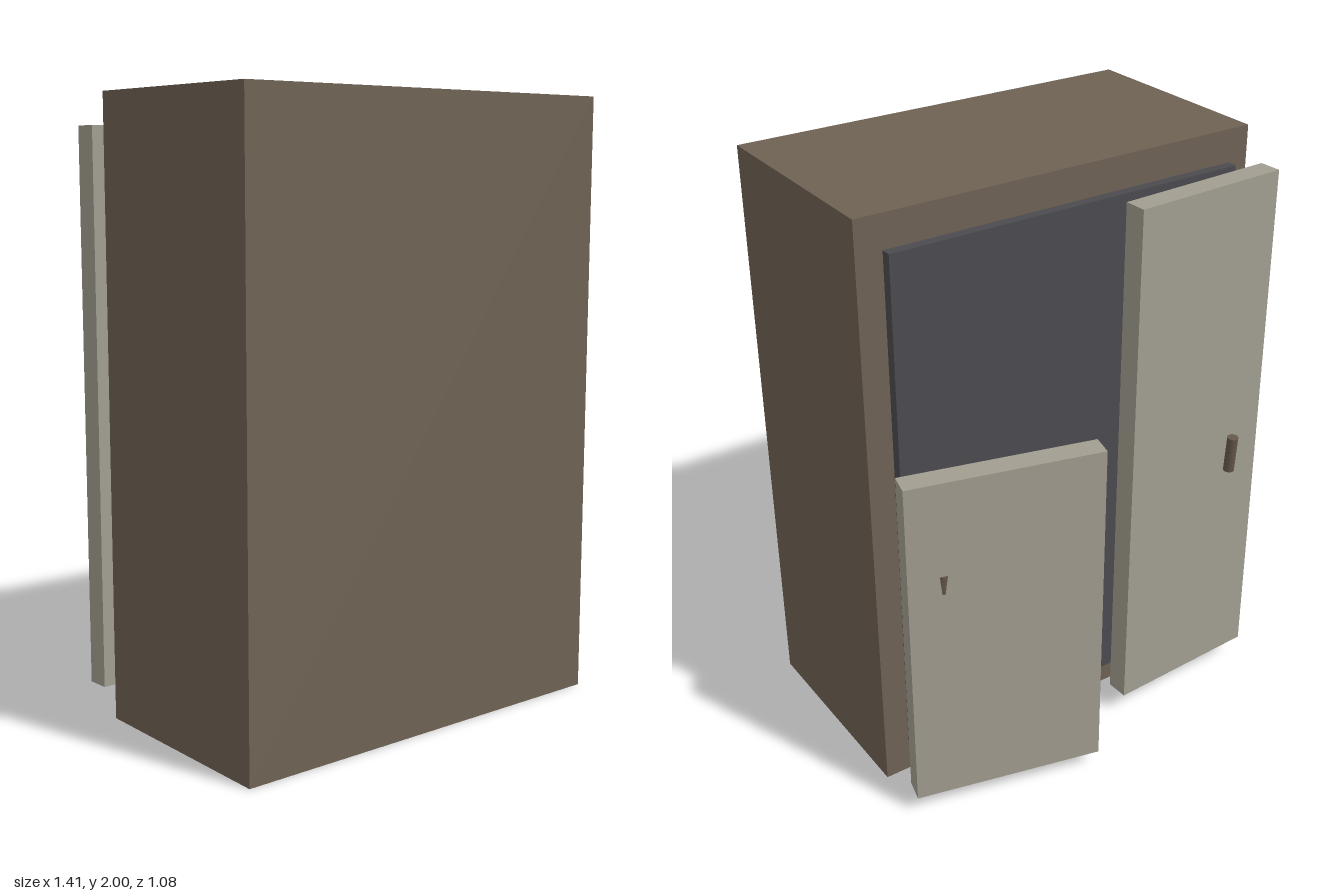
import * as THREE from 'three';

function material(name, color) {
  const m = new THREE.MeshStandardMaterial({ color });
  m.name = name;
  return m;
}

export function createModel() {
  const brown = material('brown wood', 0x6e6254);
  const charcoal = material('charcoal', 0x4b4a4e);
  const paleGrey = material('pale grey', 0xa19d90);
  const bronze = material('bronze', 0x65574a);

  const group = new THREE.Group();
  group.name = 'cabinet';

  const add = (name, geometry, mat, position, rotation = [0, 0, 0]) => {
    const mesh = new THREE.Mesh(geometry, mat);
    mesh.name = name;
    mesh.position.set(...position);
    mesh.rotation.set(...rotation);
    group.add(mesh);
  };
  const box = (w, h, d) => new THREE.BoxGeometry(w, h, d);

  // Cabinet body and the dark panel just behind it
  add('body', box(1.414, 2, 0.73), brown, [0, 1, 0.175]);
  add('backPanel', box(1.25, 1.785, 0.034), charcoal, [0, 1.003, -0.218]);

  // Loose doors, each turned a little
  add('tallDoor', box(0.556, 1.82, 0.077), paleGrey, [-0.422, 0.99, -0.326], [0, 0.05, 0]);
  add('shortDoor', box(0.636, 1.18, 0.077), paleGrey, [0.386, 0.65, -0.428], [0, -0.24, 0]);

  // Small leaning handles; the second is almost sunk into its door
  const handle = new THREE.CylinderGeometry(0.019, 0.019, 0.13, 12);
  add('tallDoorHandle', handle, bronze, [-0.546, 0.95, -0.399], [-0.07, 0, 0]);
  add('shortDoorHandle', handle, bronze, [0.59, 0.85, -0.399], [-0.07, 0, 0]);

  return group;
}
